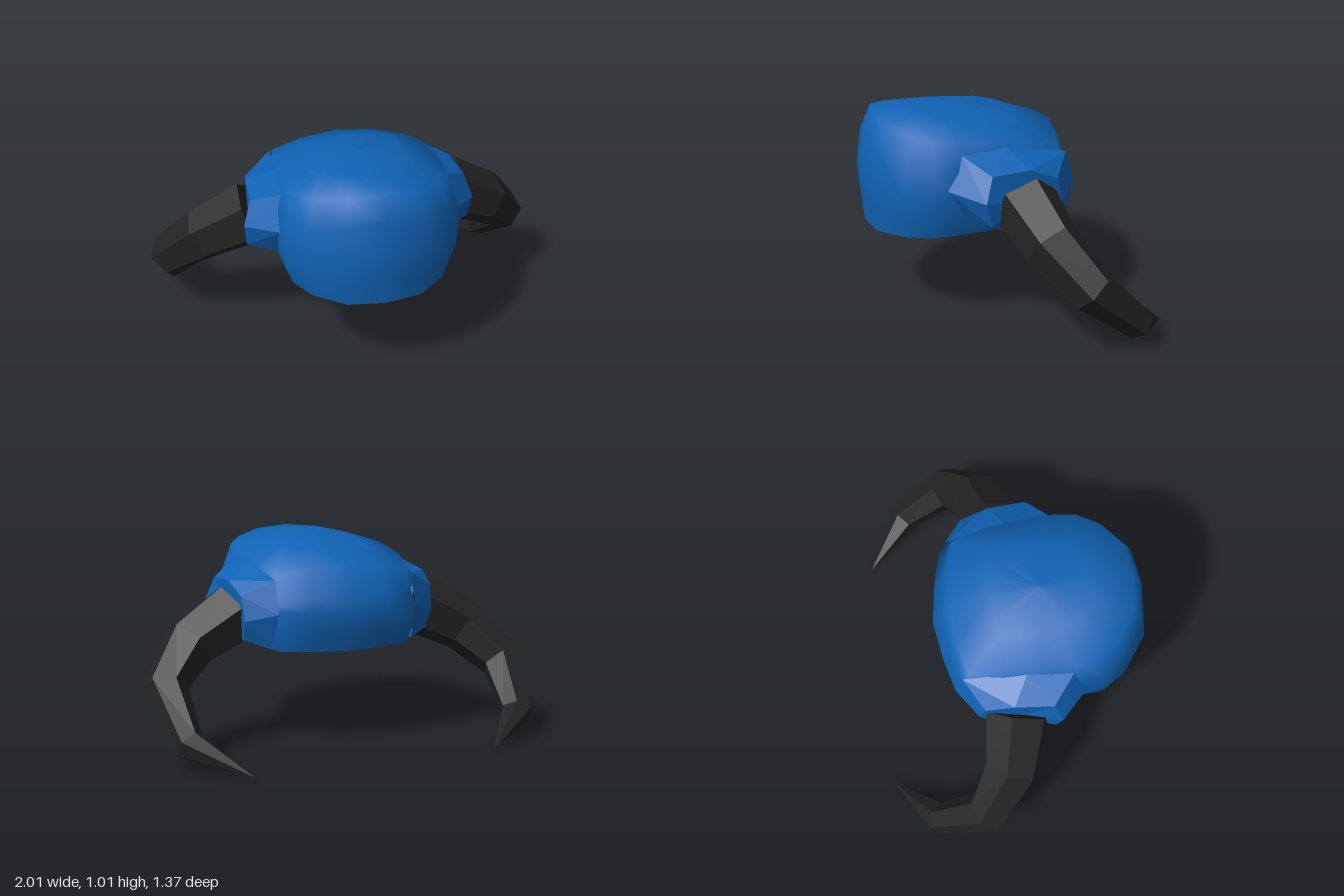
import * as THREE from 'three';

const blue = new THREE.MeshStandardMaterial({ color: 0x1063b5, side: THREE.DoubleSide });
blue.name = 'blue';
const black = new THREE.MeshStandardMaterial({ color: 0x232323, side: THREE.DoubleSide });
black.name = 'black';

// Skins a list of closed rings (arrays of Vector3) with quads
function loft(rings, flat, flip) {
  const n = rings[0].length, pos = [], idx = [];
  rings.forEach(ring => ring.forEach(p => pos.push(p.x, p.y, p.z)));
  for (let r = 0; r < rings.length - 1; r++) {
    for (let i = 0; i < n; i++) {
      const j = (i + 1) % n;
      const a = r * n + i, b = r * n + j, c = a + n, d = b + n;
      if (flip) idx.push(a, c, b, b, c, d);
      else idx.push(a, b, c, b, d, c);
    }
  }
  let g = new THREE.BufferGeometry();
  g.setAttribute('position', new THREE.Float32BufferAttribute(pos, 3));
  g.setIndex(idx);
  if (flat) g = g.toNonIndexed();
  g.computeVertexNormals();
  return g;
}

// A ring collapsed to its middle, used to close an end
function middle(ring) {
  const c = new THREE.Vector3();
  ring.forEach(p => c.add(p));
  c.divideScalar(ring.length);
  return ring.map(() => c.clone());
}

function add(group, name, geometry, material) {
  const mesh = new THREE.Mesh(geometry, material);
  mesh.name = name;
  group.add(mesh);
}

// Height of the roof, arched along z and across x
function roof(x, z) {
  const line = [[-0.4, 0.83], [-0.29, 0.89], [0, 0.99], [0.3, 1.01], [0.61, 1.0], [0.8, 0.98]];
  let k = 0;
  while (k < line.length - 2 && z > line[k + 1][0]) k++;
  const [z0, y0] = line[k], [z1, y1] = line[k + 1];
  return y0 + (y1 - y0) * (z - z0) / (z1 - z0) - 0.5 * x * x;
}

// Rounded helmet: plan outline scaled at each level
function buildHelmet(group) {
  const half = [[0, 0.685], [0.2, 0.66], [0.355, 0.55], [0.43, 0.43], [0.44, 0.3],
    [0.425, 0.1], [0.405, -0.1], [0.36, -0.3], [0.2, -0.34], [0, -0.37]];
  const plan = [...half, ...half.slice(1, -1).reverse().map(([x, z]) => [-x, z])];
  const mid = 0.155;
  // xf, xb: width factor at front and back; zf, zb: front and back ends
  const level = (xf, xb, zf, zb, height) => plan.map(([x, z]) => {
    const t = (z + 0.37) / 1.055;
    const px = x * (xb + (xf - xb) * t);
    const pz = z > mid ? mid + (z - mid) * (zf - mid) / 0.53 : mid + (z - mid) * (zb - mid) / -0.525;
    return new THREE.Vector3(px, height(px, pz), pz);
  });
  const base = level(0.9, 0.93, 0.665, -0.32, (x, z) => 0.465 - 0.03 * z + 0.08 * x * x);
  const roofRing = level(0.84, 0.98, 0.61, -0.29, roof);
  const crown = level(0.45, 0.55, 0.42, -0.08, roof);
  const top = crown.map(() => new THREE.Vector3(0, roof(0, mid), mid));
  add(group, 'helmetShell', loft([
    base,
    level(0.98, 0.98, 0.675, -0.345, () => 0.56),
    level(1, 1, 0.685, -0.37, () => 0.68),
    level(0.97, 1, 0.662, -0.33, (x, z) => roof(x, z) - 0.12),
    roofRing, crown, top,
  ], false, false), blue);
  add(group, 'helmetUnderside', loft([middle(base), base], true, false), blue);
}

// Faceted socket on the side, bevelled up to a rim round the horn
function buildSocket(group, side, name) {
  const points = list => list.map(([x, y, z]) => new THREE.Vector3(x * side, y, z));
  const outer = points([[0.43, 0.71, 0.35], [0.41, 0.87, 0.27], [0.385, 0.89, 0.05], [0.36, 0.83, -0.26],
    [0.36, 0.67, -0.3], [0.37, 0.5, -0.23], [0.38, 0.475, 0.11], [0.41, 0.54, 0.25]]);
  const rim = points([[0.58, 0.68, 0.2], [0.54, 0.8, 0.16], [0.525, 0.81, -0.03], [0.505, 0.75, -0.17],
    [0.495, 0.63, -0.2], [0.49, 0.53, -0.15], [0.51, 0.5, 0.06], [0.565, 0.56, 0.17]]);
  add(group, name, loft([outer, rim, middle(rim)], true, side > 0), blue);
}

// Six-sided horn sweeping out, down and back to a point
function buildHorn(group, side, name) {
  const path = [[0.5, 0.635, -0.01, 0.165], [0.74, 0.51, -0.07, 0.138], [0.9, 0.337, -0.21, 0.112],
    [0.858, 0.12, -0.46, 0.08], [0.61, 0, -0.68, 0]];
  const pts = path.map(([x, y, z]) => new THREE.Vector3(x, y, z));
  const normal = new THREE.Vector3(0.2, 0.725, -0.66).normalize();
  const rings = path.map(([, , , radius], k) => {
    const before = pts[Math.max(k - 1, 0)], after = pts[Math.min(k + 1, pts.length - 1)];
    const along = after.clone().sub(before).normalize();
    const u = normal.clone().cross(along).normalize();
    const v = along.clone().cross(u);
    return Array.from({ length: 6 }, (_, i) => {
      const a = i * Math.PI / 3;
      const p = pts[k].clone().addScaledVector(u, radius * Math.cos(a)).addScaledVector(v, radius * Math.sin(a));
      p.x *= side;
      return p;
    });
  });
  add(group, name, loft([middle(rings[0]), ...rings], true, side < 0), black);
}

export function createModel() {
  const group = new THREE.Group();
  group.name = 'hornedHelmet';
  buildHelmet(group);
  for (const [side, label] of [[1, 'left'], [-1, 'right']]) {
    buildSocket(group, side, label + 'HornSocket');
    buildHorn(group, side, label + 'Horn');
  }
  return group;
}
